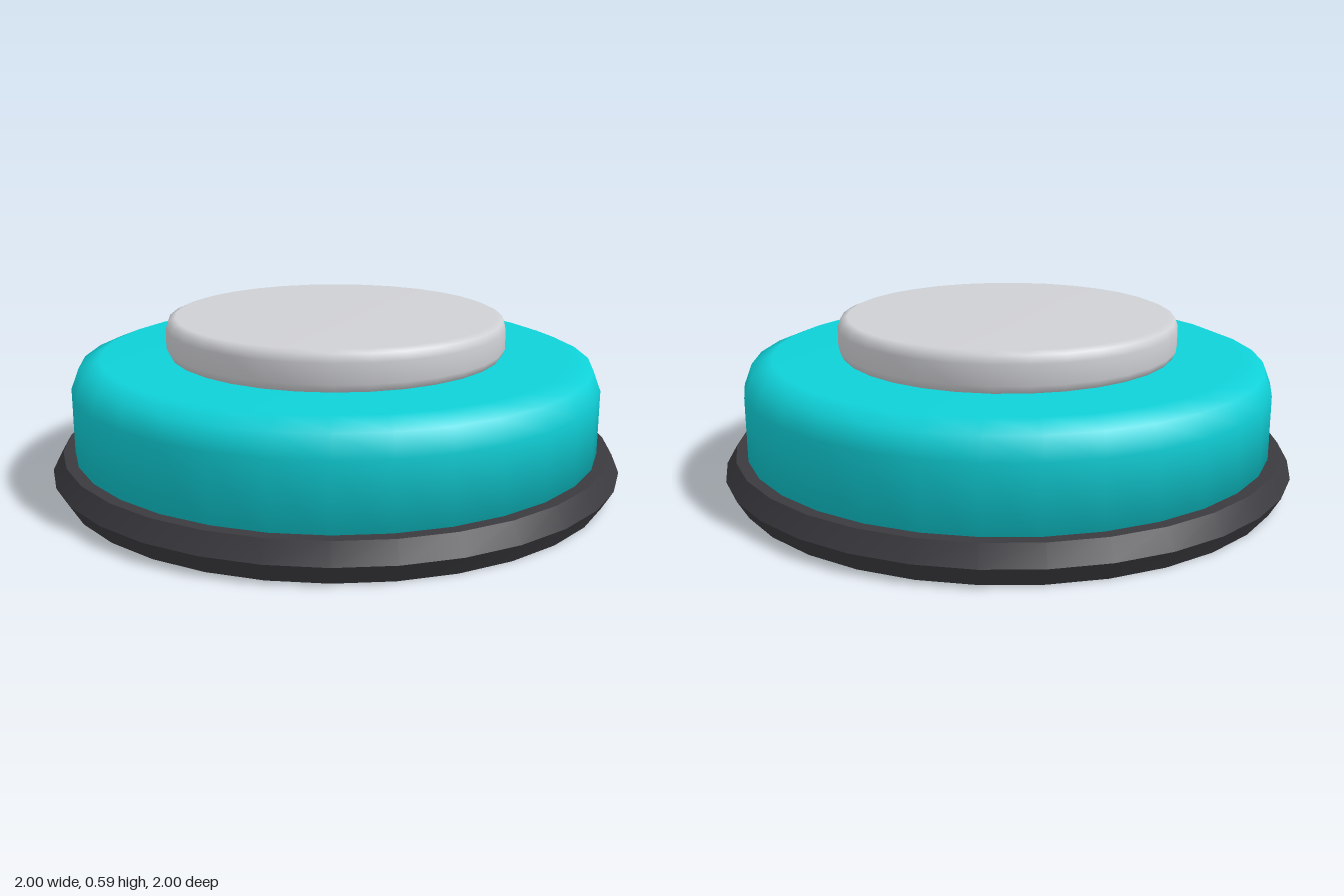
import * as THREE from 'three';
import { toCreasedNormals } from 'three/addons/utils/BufferGeometryUtils.js';

const SEGMENTS = 32;

// Solid disc with smooth normals, turned from [radius, height] points listed bottom to top
function turnedDisc(name, points, material) {
  const profile = points.map(([r, y]) => new THREE.Vector2(r, y));
  const mesh = new THREE.Mesh(new THREE.LatheGeometry(profile, SEGMENTS), material);
  mesh.name = name;
  return mesh;
}

export function createModel() {
  const group = new THREE.Group();
  group.name = 'roundButton';

  const rubber = new THREE.MeshStandardMaterial({ color: 0x3b3a3f });
  rubber.name = 'dark rubber';
  const teal = new THREE.MeshStandardMaterial({ color: 0x0fd1d8 });
  teal.name = 'teal plastic';
  const grey = new THREE.MeshStandardMaterial({ color: 0xcfd0d4 });
  grey.name = 'light grey plastic';

  // Base ring: six-sided tube with hard ridges
  const ring = new THREE.TorusGeometry(0.925, 0.075, 6, SEGMENTS);
  ring.rotateX(-Math.PI / 2);
  ring.translate(0, 0.065, 0);
  const baseRing = new THREE.Mesh(toCreasedNormals(ring, Math.PI / 4), rubber);
  baseRing.name = 'baseRing';
  group.add(baseRing);

  // Body with a two-step bevel around the top
  group.add(turnedDisc('body', [
    [0, 0.065], [0.922, 0.065], [0.922, 0.353],
    [0.894, 0.425], [0.82, 0.455], [0, 0.455],
  ], teal));

  // Push button, bevelled at both ends and slightly sunk into the body
  group.add(turnedDisc('pushButton', [
    [0, 0.445], [0.56, 0.445], [0.582, 0.457], [0.594, 0.482],
    [0.594, 0.55], [0.584, 0.577], [0.56, 0.587], [0, 0.587],
  ], grey));

  return group;
}
